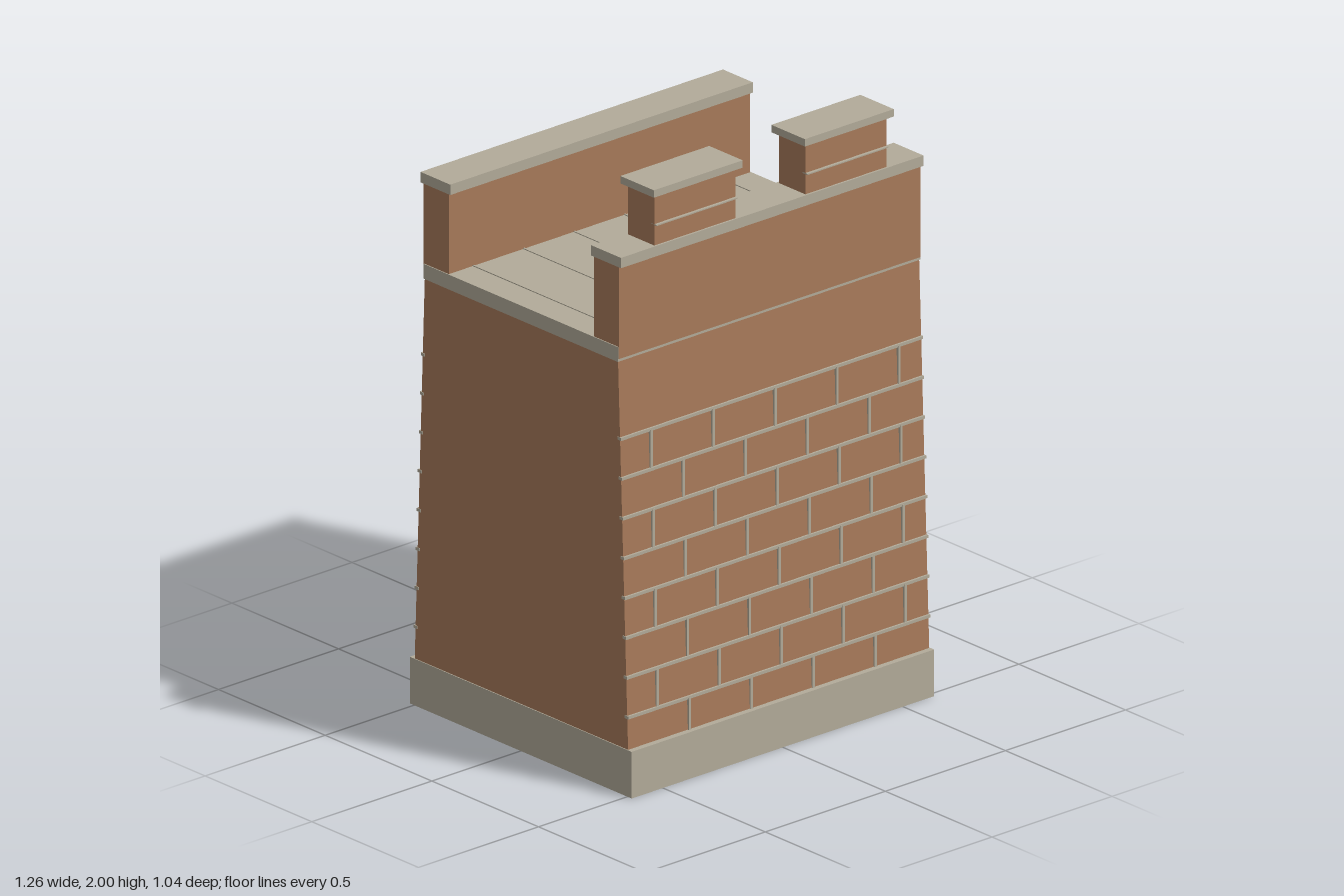
import * as THREE from 'three';

export function createModel() {
  const model = new THREE.Group();
  model.name = 'brickPier';
  const brick = new THREE.MeshStandardMaterial({ color: 0xa87a5a });
  brick.name = 'brick';
  const stone = new THREE.MeshStandardMaterial({ color: 0xb2ab99 });
  stone.name = 'stone';

  // Box given by its limits on each axis
  function box(name, material, [x0, x1], [y0, y1], [z0, z1], parent = model) {
    const mesh = new THREE.Mesh(new THREE.BoxGeometry(x1 - x0, y1 - y0, z1 - z0), material);
    mesh.position.set((x0 + x1) / 2, (y0 + y1) / 2, (z0 + z1) / 2);
    mesh.name = name;
    parent.add(mesh);
    return mesh;
  }

  const halfX = 0.63;
  const baseTop = 0.157, wallTop = 1.45;
  const wallZ = y => 0.5 + (0.453 - 0.5) * (y - baseTop) / (wallTop - baseTop);

  box('base', stone, [-halfX, halfX], [0, baseTop], [-0.52, 0.52]);

  // Body, battered on front and back
  const profile = new THREE.Shape([
    new THREE.Vector2(-wallZ(baseTop), baseTop), new THREE.Vector2(wallZ(baseTop), baseTop),
    new THREE.Vector2(wallZ(wallTop), wallTop), new THREE.Vector2(-wallZ(wallTop), wallTop),
  ]);
  const bodyGeometry = new THREE.ExtrudeGeometry(profile, { depth: 1.254, bevelEnabled: false });
  bodyGeometry.translate(0, 0, -0.627).rotateY(Math.PI / 2);
  const body = new THREE.Mesh(bodyGeometry, brick);
  body.name = 'body';
  model.add(body);

  // Mortar courses and staggered joints, on front and back
  const pitch = 0.1325, courses = 8, firstCourse = 0.265;
  for (const side of [1, -1]) {
    const joints = new THREE.Group();
    joints.name = side > 0 ? 'frontMortar' : 'backMortar';
    model.add(joints);
    const proud = (y, out) => {
      const z = side * wallZ(y);
      return [Math.min(z - side * 0.01, z + side * out), Math.max(z - side * 0.01, z + side * out)];
    };
    for (let row = 0; row < courses; row++) {
      const y = firstCourse + row * pitch;
      box('bedJoint', stone, [-0.629, 0.629], [y - 0.005, y + 0.005], proud(y, 0.007), joints);
      const low = Math.max(y - pitch, baseTop);
      const count = row % 2 ? 5 : 4;
      for (let i = 0; i < count; i++) {
        const x = (row % 2 ? -0.503 : -0.373) + i * 0.258;
        box('headJoint', stone, [x - 0.005, x + 0.005], [low, y], proud((low + y) / 2, 0.006), joints);
      }
    }
  }

  // Deck slab with raised plank seams
  box('deck', stone, [-halfX, halfX], [wallTop, 1.5], [-0.455, 0.455]);
  for (let i = 0; i < 6; i++) {
    const x = -0.525 + i * 0.21;
    box('deckSeam', stone, [x - 0.003, x + 0.003], [1.499, 1.503], [-0.34, 0.34]);
  }

  // Parapets with coping
  for (const side of [1, -1]) {
    const span = (a, b) => (side > 0 ? [a, b] : [-b, -a]);
    const label = side > 0 ? 'front' : 'back';
    box(label + 'Parapet', brick, [-0.627, 0.627], [1.46, 1.77], span(0.34, 0.458));
    box(label + 'Coping', stone, [-halfX, halfX], [1.77, 1.805], span(0.33, 0.47));
  }

  // Two capped merlons on the front parapet
  for (const x of [-0.316, 0.313]) {
    box('merlon', brick, [x - 0.169, x + 0.169], [1.805, 1.975], [0.34, 0.463]);
    box('merlonJoint', stone, [x - 0.169, x + 0.169], [1.873, 1.877], [0.45, 0.473]);
    box('merlonCap', stone, [x - 0.185, x + 0.185], [1.975, 2], [0.322, 0.479]);
  }

  return model;
}
